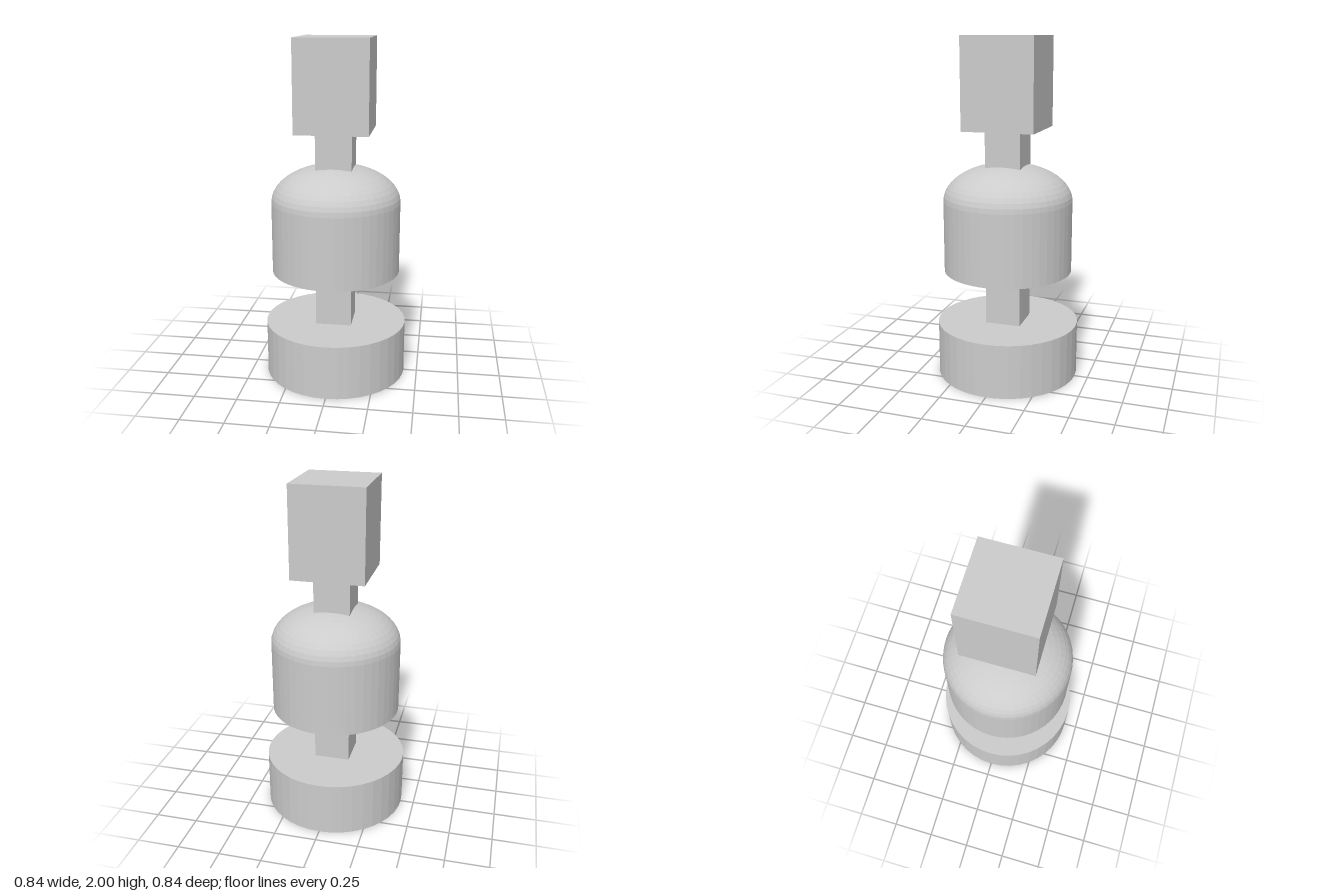
import * as THREE from 'three';

const material = new THREE.MeshStandardMaterial({ color: 0xcccccc, flatShading: true });

export function createModel() {
  const model = new THREE.Group();

  const add = (name, geometry, y = 0) => {
    const mesh = new THREE.Mesh(geometry, material);
    mesh.name = name;
    mesh.position.y = y;
    model.add(mesh);
  };

  // Round foot
  add('base', new THREE.CylinderGeometry(0.42, 0.42, 0.32, 40), 0.16);

  // Square post, visible below and above the bell
  add('lowerPost', new THREE.BoxGeometry(0.21, 0.32, 0.21), 0.478);
  add('upperPost', new THREE.BoxGeometry(0.21, 0.24, 0.21), 1.36);

  // Bell: closed flat bottom, straight wall, elliptical dome
  const radius = 0.378, bottom = 0.637, shoulder = 1.06, top = 1.277;
  const profile = [new THREE.Vector2(0, bottom), new THREE.Vector2(radius, bottom)];
  const steps = 12;
  for (let i = 0; i <= steps; i++) {
    const a = (i / steps) * Math.PI / 2;
    profile.push(new THREE.Vector2(
      i === steps ? 0 : radius * Math.cos(a),
      shoulder + (top - shoulder) * Math.sin(a)
    ));
  }
  add('bell', new THREE.LatheGeometry(profile, 48));

  // Block on top
  add('headBlock', new THREE.BoxGeometry(0.42, 0.523, 0.42), 1.7385);

  return model;
}
